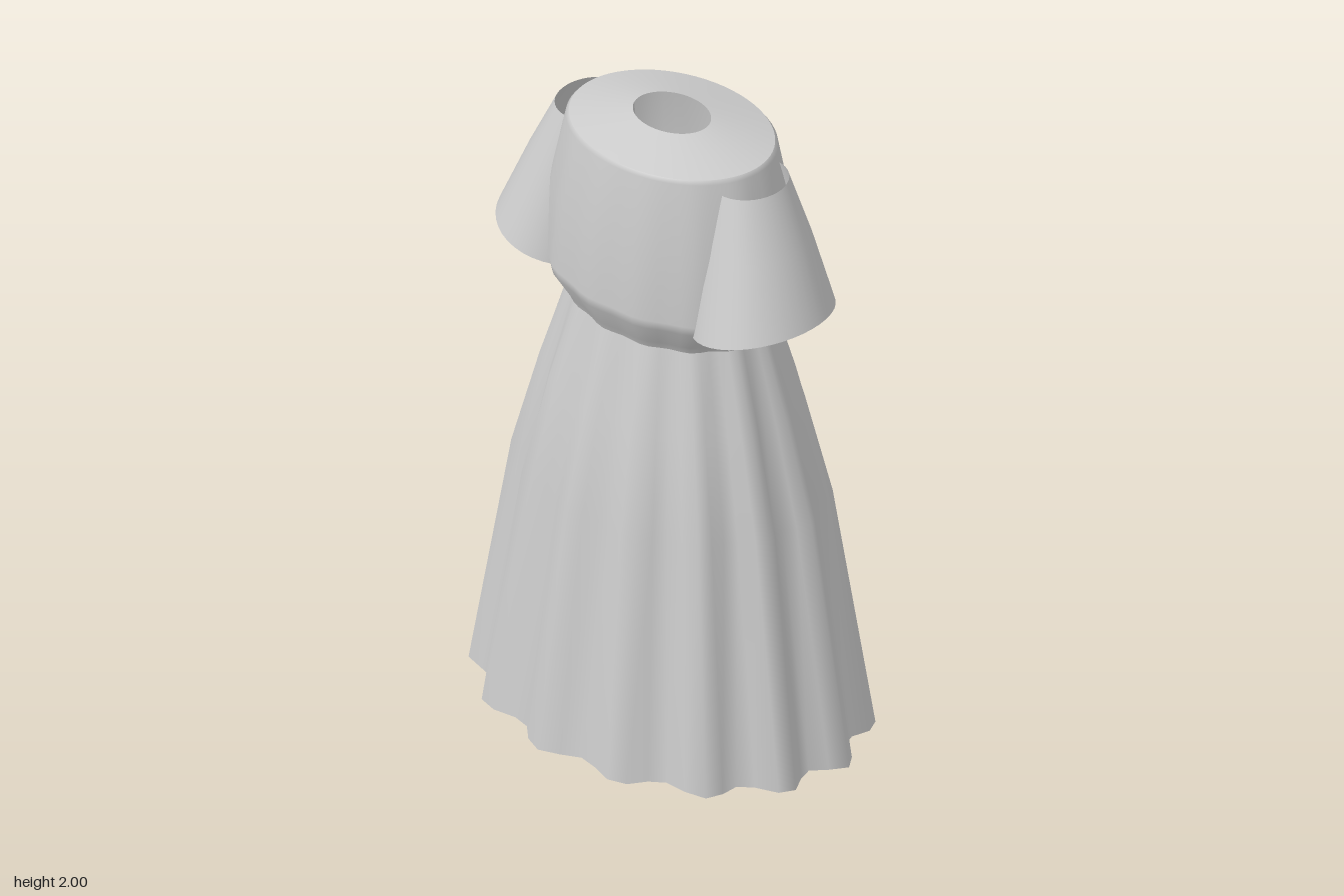
import * as THREE from 'three';

const material = new THREE.MeshStandardMaterial({ color: 0xcccccc, side: THREE.DoubleSide });

// Open tube through elliptical rings listed from bottom to top.
// Each ring: x, y, z centre; rx, rz radii; fold = pleat depth; tilt = rise per unit of x.
function loft(name, rings, segments, pleats = 0) {
  const positions = [], index = [];
  rings.forEach(({ x = 0, y, z = 0, rx, rz, fold = 0, tilt = 0 }, r) => {
    for (let i = 0; i < segments; i++) {
      const t = (i / segments) * Math.PI * 2;
      const k = 1 - fold * Math.sin(pleats * t);
      const dx = rx * k * Math.cos(t);
      positions.push(x + dx, y + tilt * dx, z + rz * k * Math.sin(t));
      if (r === rings.length - 1) continue;
      const a = r * segments + i, b = r * segments + (i + 1) % segments;
      index.push(a, a + segments, b, b, a + segments, b + segments);
    }
  });
  const geometry = new THREE.BufferGeometry();
  geometry.setAttribute('position', new THREE.Float32BufferAttribute(positions, 3));
  geometry.setIndex(index);
  geometry.computeVertexNormals();
  const mesh = new THREE.Mesh(geometry, material);
  mesh.name = name;
  return mesh;
}

export function createModel() {
  const dress = new THREE.Group();
  dress.name = 'dress';

  // Pleated skirt, open at the hem
  dress.add(loft('skirt', [
    { y: 0, rx: 0.625, rz: 0.475, fold: 0.06 },
    { y: 0.78, rx: 0.497, rz: 0.38, fold: 0.05 },
    { y: 1.1, rx: 0.415, rz: 0.315, fold: 0.036 },
    { y: 1.36, rx: 0.337, rz: 0.252, fold: 0.02 },
  ], 64, 14));

  // Bodice with gathered waist, shoulders and neck opening
  dress.add(loft('bodice', [
    { y: 1.36, rx: 0.337, rz: 0.252, fold: 0.02 },
    { y: 1.385, rx: 0.348, rz: 0.264, fold: 0.018 },
    { y: 1.46, rx: 0.408, rz: 0.306, fold: 0.014 },
    { y: 1.49, rx: 0.415, rz: 0.311, fold: 0.012 },
    { y: 1.72, rx: 0.395, rz: 0.298, fold: 0.008 },
    { y: 1.945, rx: 0.345, rz: 0.262 },
    { y: 1.957, rx: 0.335, rz: 0.254 },
  ], 64, 14));
  dress.add(loft('shoulders', [
    { y: 1.957, rx: 0.335, rz: 0.254 },
    { y: 1.98, rx: 0.23, rz: 0.175 },
    { y: 2, rx: 0.127, rz: 0.097 },
  ], 64));

  // Flared short sleeves, open at both ends
  for (const side of [1, -1]) {
    dress.add(loft(side > 0 ? 'leftSleeve' : 'rightSleeve', [
      { x: side * 0.39, y: 1.478, z: 0.027, rx: 0.195, rz: 0.225, tilt: side * 0.24 },
      { x: side * 0.345, y: 1.72, z: 0.01, rx: 0.155, rz: 0.17, tilt: side * 0.1 },
      { x: side * 0.31, y: 1.91, rx: 0.108, rz: 0.122 },
    ], 40));
  }
  return dress;
}
